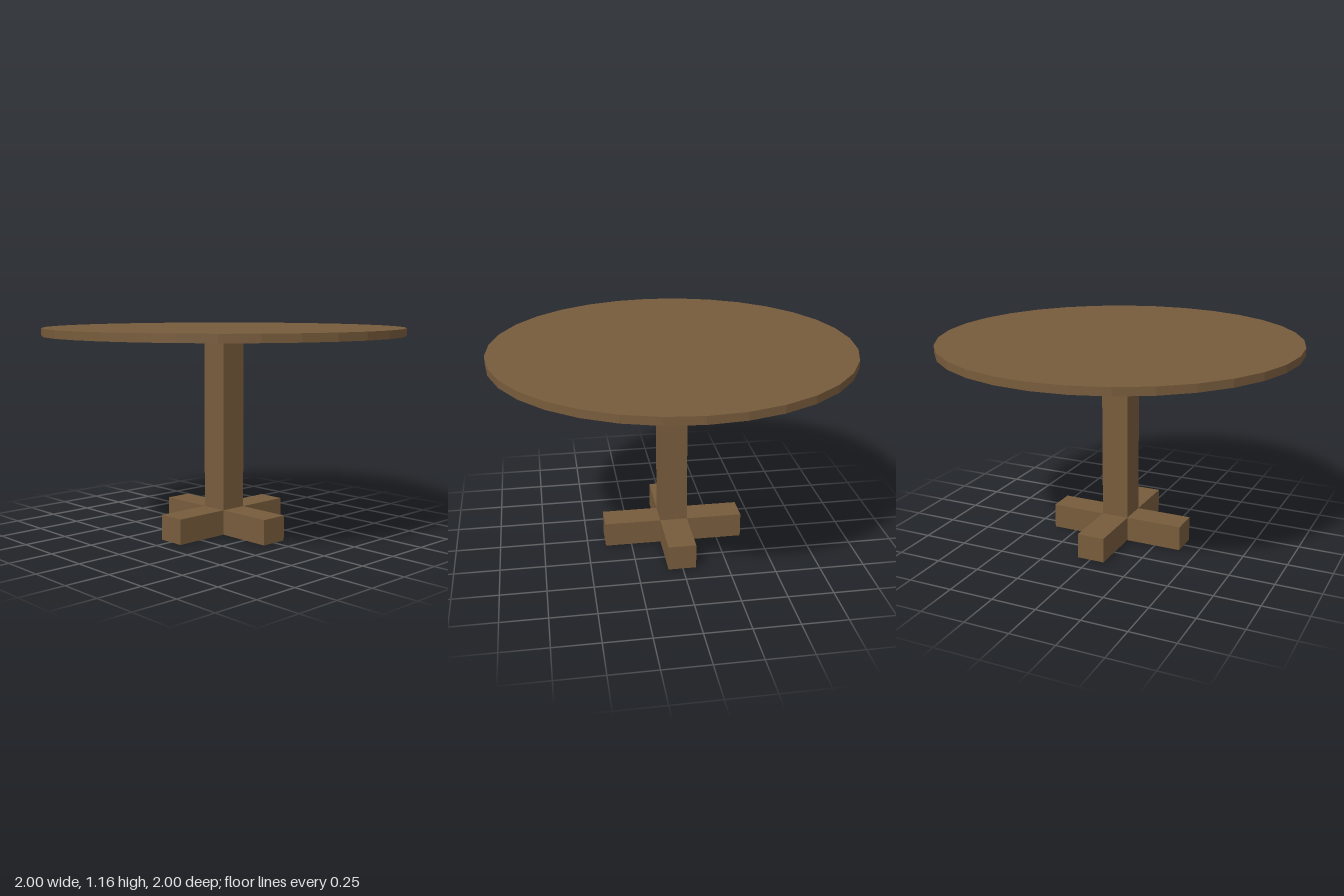
import * as THREE from 'three';

export function createModel() {
  const table = new THREE.Group();
  table.name = 'table';
  const wood = new THREE.MeshStandardMaterial({ color: 0x785c3c, flatShading: true });

  const add = (name, geometry, x, y, z) => {
    const mesh = new THREE.Mesh(geometry, wood);
    mesh.name = name;
    mesh.position.set(x, y, z);
    table.add(mesh);
  };

  const footHeight = 0.14, topBottom = 1.115, topThickness = 0.043;
  const half = 0.0775;              // half width of post and feet
  const cx = -0.003, cz = 0.003;    // post centre, slightly off axis

  // Round table top
  add('tableTop', new THREE.CylinderGeometry(1, 1, topThickness, 32),
    0, topBottom + topThickness / 2, 0);

  // Square post
  const postHeight = topBottom - footHeight;
  add('post', new THREE.BoxGeometry(half * 2, postHeight, half * 2),
    cx, footHeight + postHeight / 2, cz);

  // Cross-shaped foot: a plus outline extruded upwards
  const right = 0.39, left = -0.397, reach = 0.395;
  const plus = new THREE.Shape([
    [right, -half], [right, half], [half, half], [half, reach],
    [-half, reach], [-half, half], [left, half], [left, -half],
    [-half, -half], [-half, -reach], [half, -reach], [half, -half],
  ].map(([x, y]) => new THREE.Vector2(x, y)));
  const foot = new THREE.ExtrudeGeometry(plus, { depth: footHeight, bevelEnabled: false });
  foot.rotateX(-Math.PI / 2);
  add('crossFoot', foot, cx, 0, cz);

  return table;
}
